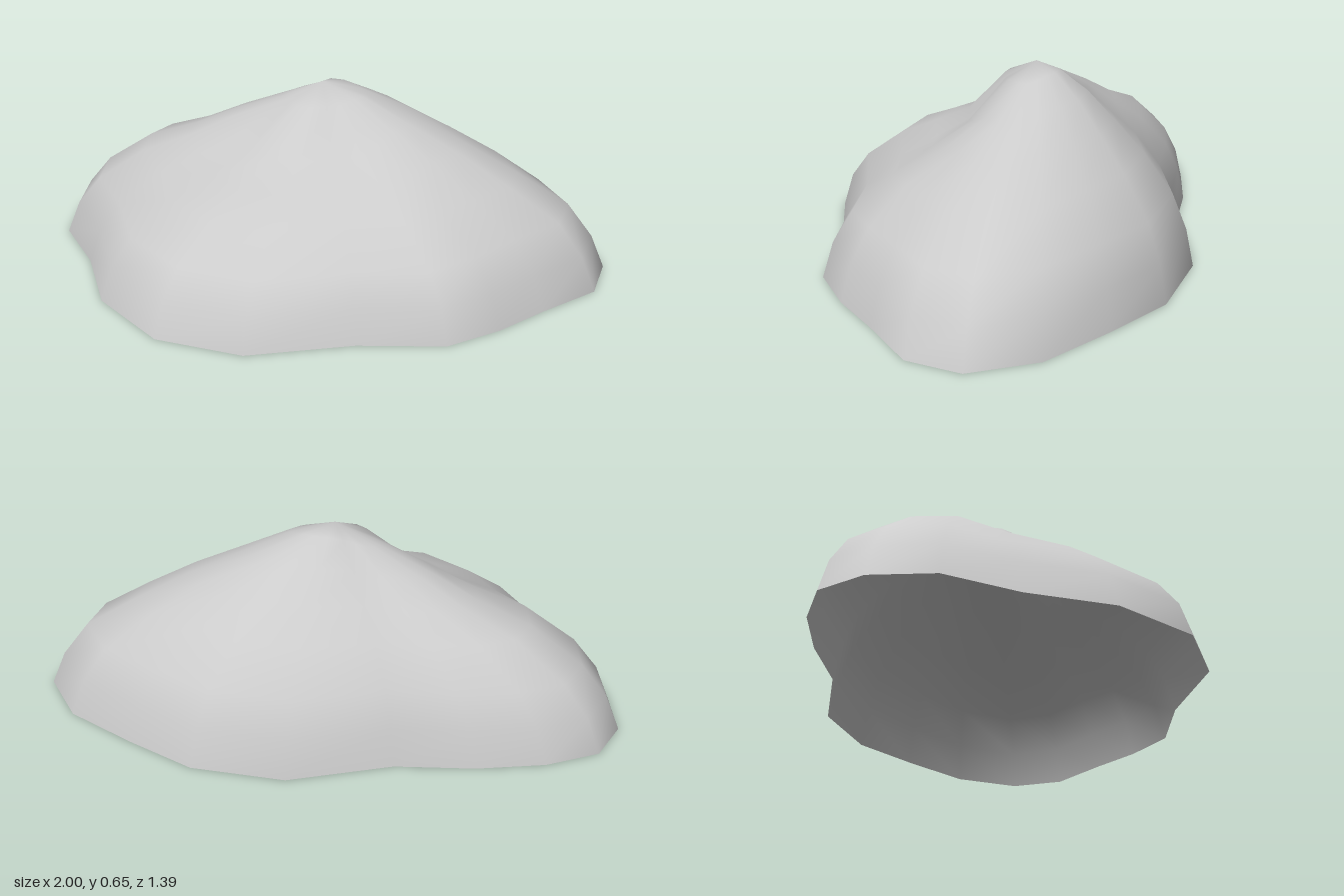
import * as THREE from 'three';

// Ground outline of the rock as [x, z], clockwise seen from above
const RIM = [
  [-1, -0.11], [-0.95, -0.28], [-0.79, -0.39], [-0.57, -0.47], [-0.31, -0.525],
  [0.01, -0.69], [0.33, -0.70], [0.58, -0.605], [0.84, -0.49], [1, -0.305],
  [1, -0.11], [0.86, 0.085], [0.75, 0.255], [0.61, 0.41], [0.33, 0.505],
  [0.01, 0.685], [-0.3, 0.69], [-0.58, 0.525], [-0.755, 0.28], [-0.945, 0.095],
];
const PEAK = new THREE.Vector3(0, 0.655, -0.1);

// Ring sizes from ground to peak, and ring heights on each side of the rock
const SCALE = [1, 0.95, 0.86, 0.68, 0.5, 0.33, 0.15];
const HEIGHT = {
  left: [0, 0.12, 0.24, 0.35, 0.45, 0.53, 0.615],
  right: [0, 0.12, 0.23, 0.355, 0.425, 0.51, 0.59],
  back: [0, 0.13, 0.25, 0.38, 0.48, 0.57, 0.635],
  front: [0, 0.12, 0.215, 0.32, 0.385, 0.45, 0.6], // low shelf under a steep step
};

// Height of a ring towards one rim point, blended between the four sides
function ringHeight(ring, x, z) {
  const { lerp, smoothstep } = THREE.MathUtils;
  const side = lerp(HEIGHT.right[ring], HEIGHT.left[ring], smoothstep(x, -0.6, 0.6));
  return z > PEAK.z
    ? lerp(side, HEIGHT.front[ring], smoothstep(z, 0, 0.6))
    : lerp(side, HEIGHT.back[ring], smoothstep(-z, 0.3, 0.7));
}

// Smooth open shell: rings shrinking towards the peak, closed by a fan
function rockGeometry() {
  const n = RIM.length, positions = [], index = [];
  SCALE.forEach((s, ring) => {
    for (const [x, z] of RIM) {
      positions.push(x * s, ringHeight(ring, x, z), PEAK.z + (z - PEAK.z) * s);
    }
  });
  positions.push(PEAK.x, PEAK.y, PEAK.z);
  const top = SCALE.length * n;
  for (let ring = 0; ring < SCALE.length; ring++) {
    for (let i = 0; i < n; i++) {
      const a = ring * n + i, b = ring * n + (i + 1) % n;
      if (ring === SCALE.length - 1) index.push(a, top, b);
      else index.push(a, a + n, b, b, a + n, b + n);
    }
  }
  const geometry = new THREE.BufferGeometry();
  geometry.setAttribute('position', new THREE.Float32BufferAttribute(positions, 3));
  geometry.setIndex(index);
  geometry.computeVertexNormals();
  return geometry;
}

export function createModel() {
  const group = new THREE.Group();
  group.name = 'rock';
  // The underside is open, so the inside of the shell shows too
  const material = new THREE.MeshStandardMaterial({ color: 0xcccccc, side: THREE.DoubleSide });
  const shell = new THREE.Mesh(rockGeometry(), material);
  shell.name = 'rockShell';
  group.add(shell);
  return group;
}
